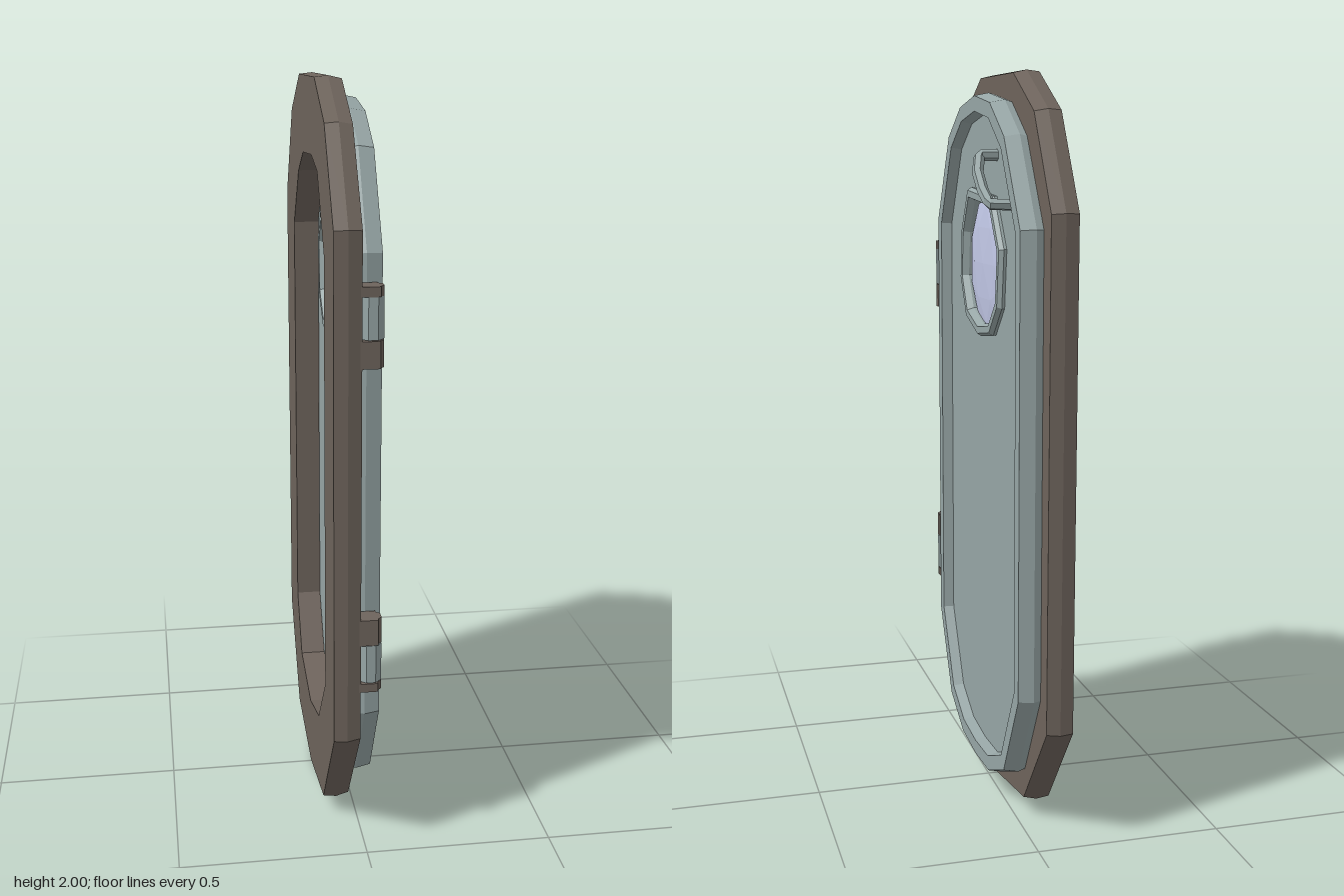
import * as THREE from 'three';

const mat = (color, extra = {}) => new THREE.MeshStandardMaterial({ color, flatShading: true, ...extra });

// Outlines run clockwise in the door plane as [u, y], where u = -z.
const FRAME = [[-0.16, 2], [0.17, 1.995], [0.36, 1.89], [0.51, 1.64], [0.505, 0.315], [0.3, 0.05],
  [0, 0], [-0.29, 0.05], [-0.51, 0.34], [-0.51, 1.665], [-0.35, 1.9]];
const OPENING = [[-0.09, 1.8], [0.09, 1.79], [0.2, 1.73], [0.32, 1.57], [0.32, 0.41], [0.22, 0.25],
  [0, 0.2], [-0.19, 0.25], [-0.335, 0.42], [-0.335, 1.58], [-0.21, 1.77]];
const DOOR = [[-0.16, 1.92], [0, 1.945], [0.16, 1.92], [0.3, 1.83], [0.45, 1.6], [0.45, 0.39], [0.31, 0.14],
  [0.15, 0.07], [0, 0.06], [-0.15, 0.07], [-0.3, 0.14], [-0.44, 0.38], [-0.44, 1.6], [-0.3, 1.84]];
const WINDOW = [[-0.12, 1.695], [0.125, 1.675], [0.22, 1.54], [0.2, 1.385], [0.115, 1.305],
  [-0.01, 1.29], [-0.14, 1.33], [-0.205, 1.44], [-0.19, 1.58]];

// Move every edge of an outline inward by d, with mitred corners
function inset(pts, d) {
  const normal = (a, b) => new THREE.Vector2(b[1] - a[1], a[0] - b[0]).normalize();
  return pts.map((p, i) => {
    const a = normal(pts[(i + pts.length - 1) % pts.length], p);
    const b = normal(p, pts[(i + 1) % pts.length]);
    const k = d / (1 + a.dot(b));
    return [p[0] + (a.x + b.x) * k, p[1] + (a.y + b.y) * k];
  });
}

// Closed band swept through rings given as [x, outline]
function band(rings) {
  const pos = [], idx = [], n = rings[0][1].length, m = rings.length;
  for (const [x, pts] of rings) for (const [u, y] of pts) pos.push(x, y, -u);
  for (let k = 0; k < m; k++) {
    for (let i = 0; i < n; i++) {
      const j = (i + 1) % n, l = (k + 1) % m;
      const a = k * n + i, b = l * n + i, c = l * n + j, d = k * n + j;
      idx.push(a, b, d, b, c, d);
    }
  }
  const g = new THREE.BufferGeometry();
  g.setAttribute('position', new THREE.Float32BufferAttribute(pos, 3));
  g.setIndex(idx);
  g.computeVertexNormals();
  return g;
}

export function createModel() {
  const model = new THREE.Group();
  model.name = 'hatchDoor';
  const brown = mat(0x6e645c), steel = mat(0x97a6a6), glassMat = mat(0xc3c9e8);
  const add = (name, geometry, material, parent = model) => {
    const mesh = new THREE.Mesh(geometry, material);
    mesh.name = name;
    parent.add(mesh);
    return mesh;
  };

  // Heavy surround with an open middle
  add('doorFrame', band([[-0.09, inset(FRAME, 0.004)], [-0.055, FRAME], [-0.02, inset(FRAME, 0.008)],
    [-0.02, OPENING], [-0.09, OPENING]]), brown);

  // Raised rim around the door leaf
  add('doorRim', band([[-0.02, inset(DOOR, 0.006)], [0, DOOR], [0.04, inset(DOOR, 0.008)],
    [0.04, inset(DOOR, 0.048)], [0.01, inset(DOOR, 0.055)], [-0.02, inset(DOOR, 0.06)]]), steel);

  // Sunken panel, cut out for the window
  const toVec = (pts) => pts.map(([u, y]) => new THREE.Vector2(u, y));
  const panel = new THREE.Shape(toVec(inset(DOOR, 0.04)));
  panel.holes.push(new THREE.Path(toVec(inset(WINDOW, 0.02))));
  const panelGeo = new THREE.ExtrudeGeometry(panel, { depth: 0.029, bevelEnabled: false });
  panelGeo.rotateY(Math.PI / 2).translate(-0.019, 0, 0);
  add('doorPanel', panelGeo, steel);

  // Window surround and faceted pane
  add('windowRing', band([[-0.035, inset(WINDOW, 0.006)], [0.018, WINDOW], [0.03, inset(WINDOW, 0.008)],
    [0.03, inset(WINDOW, 0.026)], [0.012, inset(WINDOW, 0.034)], [-0.017, inset(WINDOW, 0.034)],
    [-0.035, inset(WINDOW, 0.026)]]), steel);
  const pane = add('windowPane', new THREE.IcosahedronGeometry(1, 1), glassMat);
  pane.scale.set(0.022, 0.192, 0.2);
  pane.position.set(-0.003, 1.492, -0.008);

  // Bent grab handle
  const grip = new THREE.CurvePath();
  const bends = [[0.005, 1.78, -0.125], [0.06, 1.78, -0.13], [0.073, 1.735, -0.165],
    [0.073, 1.69, -0.215], [0.068, 1.657, -0.265], [0.005, 1.655, -0.275]].map((p) => new THREE.Vector3(...p));
  for (let i = 1; i < bends.length; i++) grip.add(new THREE.LineCurve3(bends[i - 1], bends[i]));
  add('handle', new THREE.TubeGeometry(grip, 24, 0.015, 6), steel);

  // Hinges: frame knuckles above and below a door knuckle with its leaf
  const hinge = (name, blocks) => {
    const group = new THREE.Group();
    group.name = name;
    model.add(group);
    for (const [part, y0, y1, material] of blocks) {
      const knuckle = add(part, new THREE.CylinderGeometry(0.034, 0.034, y1 - y0, 8), material, group);
      knuckle.rotation.y = Math.PI / 8;
      knuckle.scale.set(0.92, 1, 0.92);
      knuckle.position.set(0.007, (y0 + y1) / 2, 0.472);
      const isDoor = part === 'doorKnuckle';
      const leaf = add(isDoor ? 'doorLeaf' : 'frameLeaf',
        new THREE.BoxGeometry(isDoor ? 0.03 : 0.05, y1 - y0, 0.06), material, group);
      leaf.position.set(isDoor ? 0.012 : 0, (y0 + y1) / 2, isDoor ? 0.45 : 0.473);
    }
  };
  hinge('upperHinge', [['upperKnuckle', 1.505, 1.53, brown], ['doorKnuckle', 1.4, 1.505, steel],
    ['lowerKnuckle', 1.33, 1.398, brown]]);
  hinge('lowerHinge', [['upperKnuckle', 0.605, 0.675, brown], ['doorKnuckle', 0.5, 0.603, steel],
    ['lowerKnuckle', 0.475, 0.498, brown]]);

  return model;
}
